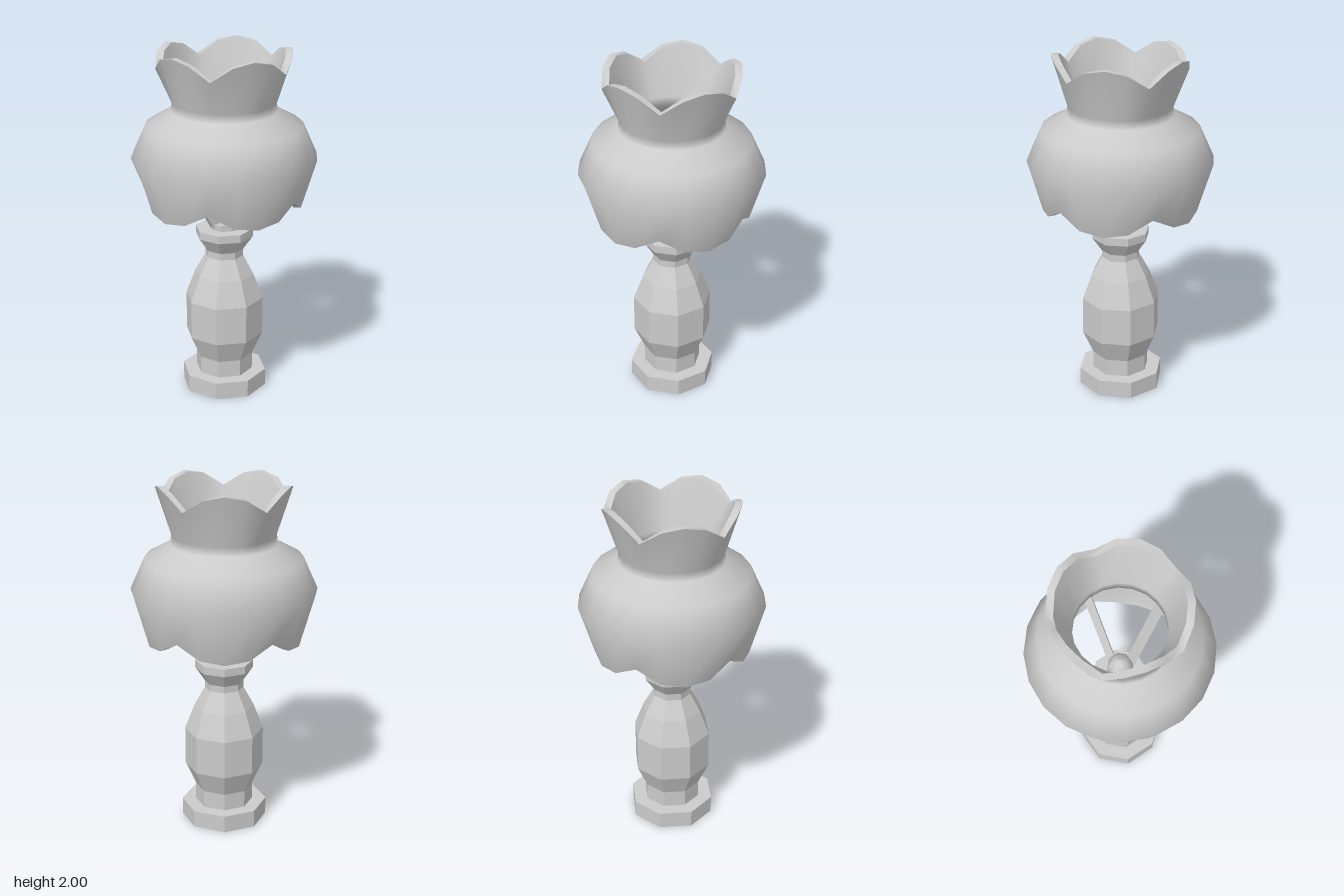
import * as THREE from 'three';

const flat = new THREE.MeshStandardMaterial({ color: 0xcccccc, flatShading: true });
const smooth = new THREE.MeshStandardMaterial({ color: 0xcccccc });

function addMesh(parent, name, geometry, material) {
  const mesh = new THREE.Mesh(geometry, material);
  mesh.name = name;
  parent.add(mesh);
  return mesh;
}

// Eight-sided turned part from [radius, y] points, listed from bottom to top
function octagonal(points) {
  return new THREE.LatheGeometry(points.map(([r, y]) => new THREE.Vector2(r, y)), 8);
}

// Closed petal-edged shell: five lobes, four segments each, outer and inner walls
function shadeGeometry() {
  const sides = 20;
  const bottom = [1.19, 1.12, 1.1, 1.12];
  const top = [1.9, 1.975, 2.0, 1.975];
  const outer = [[0.435, bottom], [0.52, 1.4], [0.44, 1.58], [0.295, 1.66], [0.29, 1.71], [0.375, top]];
  const inner = [[0.335, top], [0.25, 1.71], [0.25, 1.65], [0.41, 1.55], [0.48, 1.4], [0.395, bottom]];
  // Separate strips keep the two rims crisp
  const strips = [outer, [outer[5], inner[0]], inner, [inner[5], outer[0]]];
  const positions = [], indices = [];
  for (const strip of strips) {
    const start = positions.length / 3;
    strip.forEach(([r, y], i) => {
      for (let j = 0; j < sides; j++) {
        const angle = (j / sides) * Math.PI * 2;
        positions.push(r * Math.sin(angle), Array.isArray(y) ? y[j % 4] : y, r * Math.cos(angle));
        if (i === strip.length - 1) continue;
        const a = start + i * sides + j;
        const b = start + i * sides + (j + 1) % sides;
        indices.push(a, b, b + sides, a, b + sides, a + sides);
      }
    });
  }
  const geometry = new THREE.BufferGeometry();
  geometry.setAttribute('position', new THREE.Float32BufferAttribute(positions, 3));
  geometry.setIndex(indices);
  geometry.computeVertexNormals();
  return geometry;
}

export function createModel() {
  const lamp = new THREE.Group();
  lamp.name = 'tableLamp';

  addMesh(lamp, 'base', octagonal([[0, 0], [0.245, 0], [0.245, 0.1], [0, 0.1]]), flat);
  addMesh(lamp, 'stem', octagonal([
    [0.165, 0.1], [0.165, 0.2], [0.225, 0.335], [0.225, 0.555], [0.17, 0.7],
    [0.11, 0.81], [0.11, 0.85], [0.165, 0.93], [0.165, 0.975], [0, 0.975],
  ]), flat);
  addMesh(lamp, 'socket', octagonal([[0.088, 0.975], [0.088, 1.01], [0, 1.01]]), flat);
  addMesh(lamp, 'bulb', octagonal([
    [0.045, 1.01], [0.05, 1.05], [0.075, 1.12], [0.065, 1.18], [0.035, 1.22], [0, 1.235],
  ]), smooth);

  // Slanted struts from the socket to the shoulder of the shade
  const struts = new THREE.Group();
  struts.name = 'struts';
  lamp.add(struts);
  for (const degrees of [9, 134, 197, 295]) {
    const angle = THREE.MathUtils.degToRad(degrees);
    const at = (r, y) => new THREE.Vector3(r * Math.cos(angle), y, r * Math.sin(angle));
    const from = at(0.06, 0.99), to = at(0.4, 1.56);
    const strut = addMesh(struts, 'strut', new THREE.CylinderGeometry(0.03, 0.03, from.distanceTo(to), 4), flat);
    strut.position.lerpVectors(from, to, 0.5);
    strut.quaternion.setFromUnitVectors(new THREE.Vector3(0, 1, 0), to.sub(from).normalize());
  }

  addMesh(lamp, 'shade', shadeGeometry(), smooth);
  return lamp;
}
